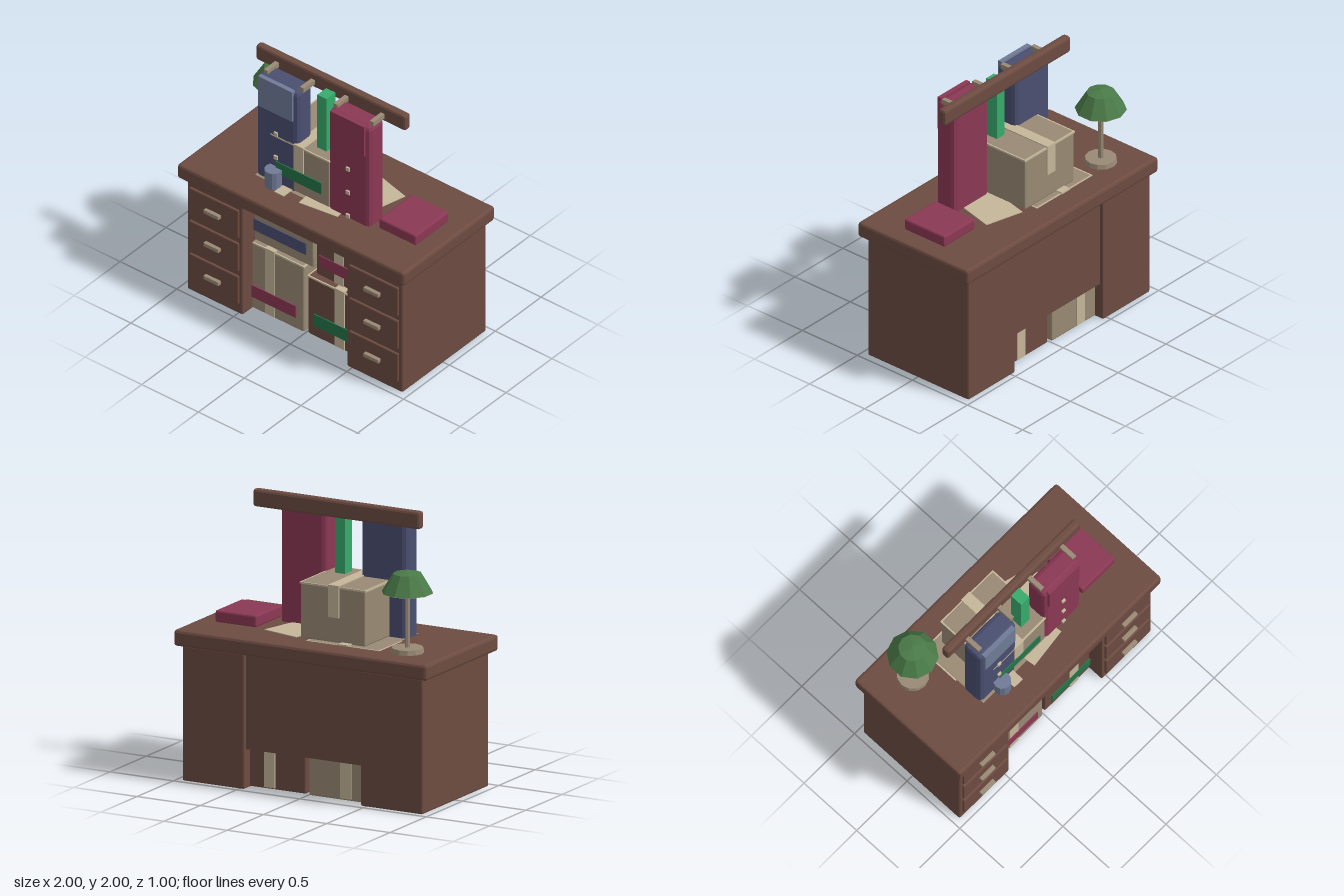
import * as THREE from 'three';
import { RoundedBoxGeometry } from 'three/addons/geometries/RoundedBoxGeometry.js';

const mat = (name, color) => {
  const m = new THREE.MeshStandardMaterial({ color });
  m.name = name;
  return m;
};

export function createModel() {
  const wood = mat('brown wood', 0x6d4c41);
  const card = mat('tan cardboard', 0x998a74);
  const cream = mat('cream paper', 0xc4b69a);
  const crimson = mat('crimson', 0x8b3854);
  const navy = mat('navy', 0x4a4f70);
  const blue = mat('slate blue', 0x707b97);
  const green = mat('label green', 0x23754a);
  const bright = mat('bright green', 0x37ab6c);
  const shade = mat('lamp green', 0x4a7a48);

  const model = new THREE.Group();
  model.name = 'deskWithParcels';

  const add = (parent, name, geometry, material, x = 0, y = 0, z = 0) => {
    const m = new THREE.Mesh(geometry, material);
    m.name = name;
    m.position.set(x, y, z);
    parent.add(m);
    return m;
  };
  // Box given by its extents; a bevel gives it faceted soft edges
  const block = (parent, name, material, [x0, x1], [y0, y1], [z0, z1], bevel = 0) => {
    const size = [x1 - x0, y1 - y0, z1 - z0];
    const g = bevel ? new RoundedBoxGeometry(...size, 1, bevel) : new THREE.BoxGeometry(...size);
    g.computeVertexNormals();
    return add(parent, name, g, material, (x0 + x1) / 2, (y0 + y1) / 2, (z0 + z1) / 2);
  };
  // Round part with flat facets
  const round = (parent, name, material, rTop, rBottom, y0, y1, sides, x, z, open = false) => {
    const g = new THREE.CylinderGeometry(rTop, rBottom, y1 - y0, sides, 1, open).toNonIndexed();
    g.computeVertexNormals();
    return add(parent, name, g, material, x, (y0 + y1) / 2, z);
  };
  const group = (name, parent = model) => {
    const g = new THREE.Group();
    g.name = name;
    parent.add(g);
    return g;
  };

  // Desk
  const desk = group('desk');
  block(desk, 'desktop', wood, [-1, 1], [0.955, 1.07], [-0.5, 0.5], 0.02);
  block(desk, 'backPanel', wood, [-0.455, 0.465], [0.28, 0.96], [-0.44, -0.41]);
  for (const s of [-1, 1]) {
    const pedestal = group(s < 0 ? 'rightPedestal' : 'leftPedestal', desk);
    const c = s * 0.705;
    block(pedestal, 'cabinet', wood, [c - 0.245, c + 0.245], [0, 0.96], [-0.465, 0.45], 0.012);
    for (let i = 0; i < 3; i++) {
      const y = 0.205 + i * 0.282;
      block(pedestal, 'drawer', wood, [c - 0.217, c + 0.217], [y - 0.12, y + 0.12], [0.44, 0.467], 0.008);
      block(pedestal, 'handle', card, [c - 0.067, c + 0.067], [y - 0.016, y + 0.016], [0.46, 0.495], 0.005);
    }
  }

  // Parcels: bevelled box with a pale lid seam, tape over the top and a front label
  const parcel = (name, material, [x0, x1], [y0, y1], [z0, z1], o) => {
    const p = group(name);
    const t = 0.004;
    block(p, 'carton', material, [x0, x1], [y0, y1], [z0, z1], 0.012);
    block(p, 'lidSeam', cream, [x0 - t, x1 + t], [y1 - 0.015, y1 - 0.002], [z0 - t, z1 + t]);
    const tape = [o.tape - 0.042, o.tape + 0.042];
    block(p, 'topTape', cream, tape, [y1 - 0.004, y1 + 0.007], [z0 - 0.01, z1 + 0.01]);
    block(p, 'frontTape', cream, tape, [o.tapeEnd, y1 + 0.007], [z1 - 0.002, z1 + 0.008]);
    block(p, 'backTape', cream, tape, [o.tapeEnd, y1 + 0.007], [z0 - 0.008, z0 + 0.002]);
    block(p, 'label', o.color, o.label, o.labelY, [z1 + 0.006, z1 + 0.014]);
    return p;
  };
  parcel('lowerRightParcel', card, [-0.585, -0.01], [0.002, 0.568], [-0.39, 0.34],
    { tape: -0.303, tapeEnd: 0.015, color: crimson, label: [-0.53, -0.07], labelY: [0.105, 0.205] });
  parcel('lowerLeftParcel', wood, [0.02, 0.6], [0.004, 0.503], [-0.38, 0.33],
    { tape: 0.304, tapeEnd: 0.015, color: green, label: [0.08, 0.53], labelY: [0.105, 0.205] });
  const upper = parcel('upperRightParcel', card, [-0.52, 0.055], [0.573, 1.072], [-0.32, 0.31],
    { tape: -0.238, tapeEnd: 0.96, color: navy, label: [-0.47, 0], labelY: [0.665, 0.762] });
  upper.rotation.x = 0.008;
  parcel('upperLeftParcel', wood, [0.06, 0.485], [0.508, 0.87], [-0.3, 0.29],
    { tape: 0.265, tapeEnd: 0.515, color: crimson, label: [0.095, 0.435], labelY: [0.595, 0.69] });
  parcel('desktopParcel', card, [-0.385, 0.128], [1.07, 1.472], [-0.267, 0.232],
    { tape: -0.137, tapeEnd: 1.25, color: green, label: [-0.335, 0.067], labelY: [1.165, 1.26] });

  // Hanging rail with hooks
  const rack = group('hangingRack');
  block(rack, 'rail', wood, [-0.66, 0.66], [1.875, 2], [0, 0.062], 0.018);
  for (const x of [-0.47, -0.153, 0.145, 0.463])
    block(rack, 'hook', card, [x - 0.017, x + 0.017], [1.905, 1.942], [0.05, 0.185]);

  // Hanging garment bags with a front flap and buttons
  const bag = (name, body, flap, x) => {
    const b = group(name);
    block(b, 'bagBody', body, [x - 0.183, x + 0.183], [0.88, 1.915], [0.068, 0.234], 0.035);
    block(b, 'bagFlap', flap, [x - 0.15, x + 0.15], [1.67, 1.922], [0.215, 0.25]);
    for (const y of [1.09, 1.29, 1.49])
      block(b, 'button', cream, [x - 0.015, x + 0.015], [y - 0.015, y + 0.015], [0.225, 0.248]);
  };
  bag('blueBag', navy, blue, -0.336);
  bag('crimsonBag', crimson, crimson, 0.3);
  block(model, 'greenStrip', bright, [-0.036, 0.045], [1.43, 1.922], [0.062, 0.16]);

  // Desk lamp
  const lamp = group('lamp');
  round(lamp, 'lampBase', card, 0.11, 0.115, 1.068, 1.105, 12, -0.7, -0.235);
  round(lamp, 'lampPole', card, 0.019, 0.019, 1.1, 1.6, 8, -0.7, -0.235);
  round(lamp, 'lampShade', shade, 0.1, 0.18, 1.495, 1.628, 10, -0.7, -0.235, true);
  round(lamp, 'shadeCap', shade, 0.001, 0.1, 1.628, 1.65, 10, -0.7, -0.235);
  round(lamp, 'shadeUnderside', card, 0.176, 0.179, 1.492, 1.497, 10, -0.7, -0.235);

  // Things lying on the desk
  round(model, 'cup', blue, 0.063, 0.06, 1.068, 1.21, 12, -0.336, 0.268);
  block(model, 'book', crimson, [0.535, 0.86], [1.068, 1.152], [-0.168, 0.195], 0.012);
  const sheet = (name, x, z, w, d, turn) => {
    const s = add(model, name, new THREE.BoxGeometry(w, 0.005, d), cream, x, 1.073, z);
    s.rotation.y = turn;
  };
  sheet('backSheet', 0.26, -0.05, 0.3, 0.38, -0.25);
  sheet('frontSheet', 0.06, 0.11, 0.31, 0.38, 0.13);

  return model;
}
